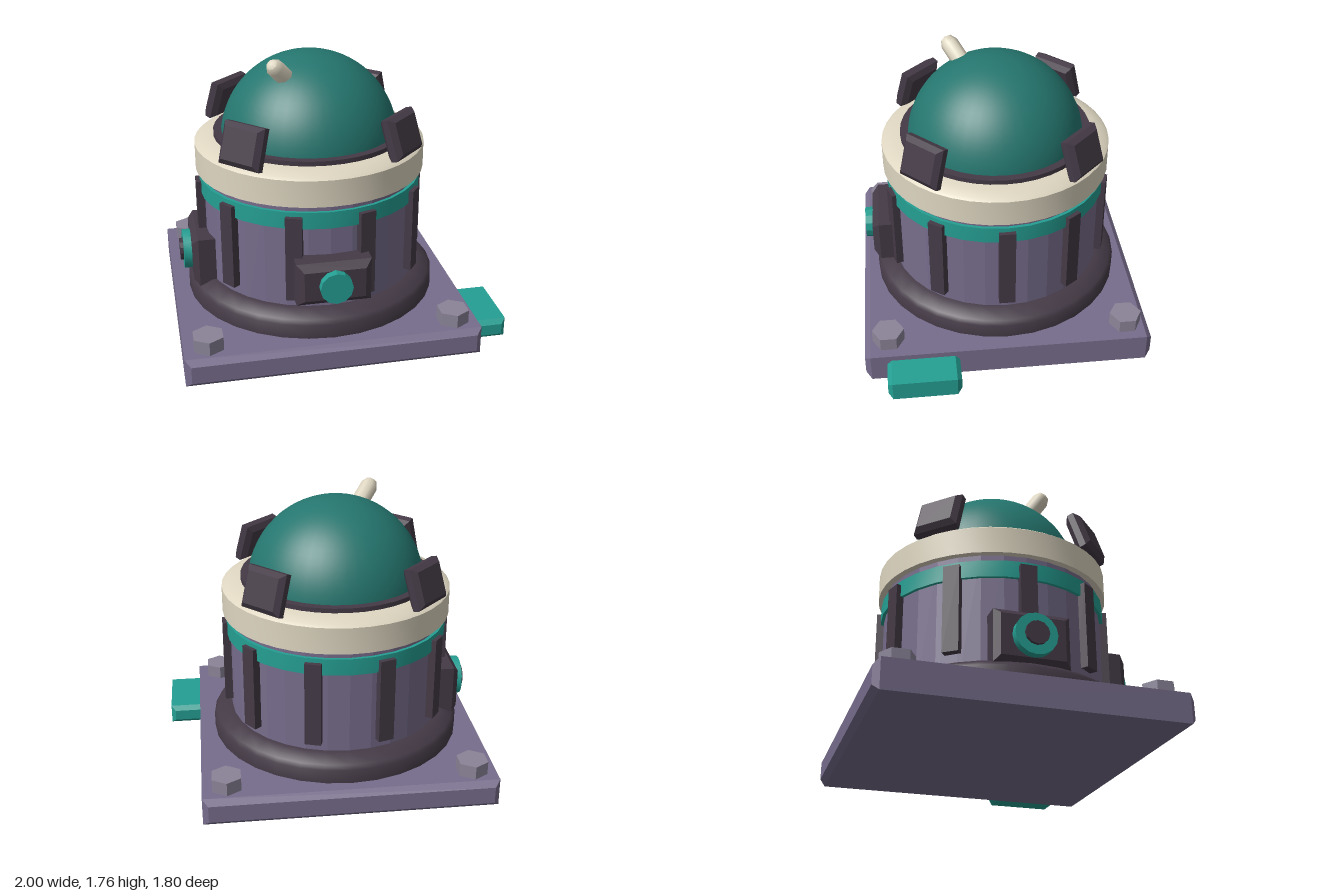
import * as THREE from 'three';
import { toCreasedNormals } from 'three/addons/utils/BufferGeometryUtils.js';

const mat = (name, color) => {
  const m = new THREE.MeshStandardMaterial({ color });
  m.name = name;
  return m;
};

export function createModel() {
  const purple = mat('dusty purple', 0x776d8c);
  const dark = mat('dark plum', 0x443a46);
  const cream = mat('cream', 0xded6c1);
  const teal = mat('bright teal', 0x259f93);
  const deepTeal = mat('deep teal', 0x25766f);
  const grey = mat('lilac grey', 0x8b8498);

  const model = new THREE.Group();
  model.name = 'domedTurret';
  const AXIS = -0.1; // x of the turret's axis

  const add = (name, geometry, material, x = 0, y = 0, z = 0, parent = model) => {
    const mesh = new THREE.Mesh(geometry, material);
    mesh.name = name;
    mesh.position.set(x, y, z);
    parent.add(mesh);
    return mesh;
  };

  // Block whose front and back faces are chamfered by b
  const block = (w, h, d, b) => {
    const s = new THREE.Shape();
    s.moveTo(-w / 2, -h / 2).lineTo(w / 2, -h / 2).lineTo(w / 2, h / 2).lineTo(-w / 2, h / 2).closePath();
    const g = new THREE.ExtrudeGeometry(s, {
      depth: d - 2 * b, bevelEnabled: true, bevelSegments: 1,
      bevelSize: b, bevelThickness: b, bevelOffset: -b,
    });
    return g.translate(0, 0, b - d / 2);
  };

  const lathe = (points, sides, crease) => toCreasedNormals(
    new THREE.LatheGeometry(points.map(([r, y]) => new THREE.Vector2(r, y)), sides), crease);

  const drum = (r, h, sides, crease = 0.5) =>
    toCreasedNormals(new THREE.CylinderGeometry(r, r, h, sides), crease);

  // Base plate, side tab and corner bolts
  add('basePlate', block(1.8, 0.18, 1.8, 0.035), purple, AXIS, 0.09, 0);
  add('sideTab', block(0.3, 0.125, 0.45, 0.028), teal, 0.85, 0.083, 0.54);
  for (const sx of [-1, 1]) for (const sz of [-1, 1])
    add('bolt', drum(0.1, 0.1, 6), grey, AXIS + sx * 0.75, 0.215, sz * 0.75);

  // Turret body
  add('footRing', lathe([[0.8, 0.18], [0.8, 0.27], [0.78, 0.295], [0.7, 0.335], [0.66, 0.335]], 32, 0.9), dark, AXIS);
  add('body', drum(0.68, 0.85, 32, 0.1), purple, AXIS, 0.605, 0);
  add('tealBand', drum(0.7, 0.105, 32), teal, AXIS, 0.91, 0);
  add('creamRing', lathe([[0.64, 1.005], [0.72, 1.005], [0.72, 1.17], [0.7, 1.185], [0.64, 1.205], [0.58, 1.215]], 40, 0.9),
    cream, AXIS);
  add('domeCollar', drum(0.6, 0.08, 40), dark, AXIS, 1.2, 0);
  add('dome', new THREE.SphereGeometry(0.555, 40, 20, 0, Math.PI * 2, 0, Math.PI / 2), deepTeal, AXIS, 1.167, 0);

  // Ten upright ribs around the body
  for (let i = 0; i < 10; i++) {
    const a = (i + 0.5) * Math.PI / 5;
    const rib = add('rib', new THREE.BoxGeometry(0.1, 0.54, 0.07), dark,
      AXIS + Math.sin(a) * 0.69, 0.665, Math.cos(a) * 0.69);
    rib.rotation.y = a;
  }

  // Four guard plates leaning in toward the dome
  for (let i = 0; i < 4; i++) {
    const a = (i + 0.5) * Math.PI / 2;
    const guard = add('guardPlate', block(0.29, 0.255, 0.1, 0.03), dark,
      AXIS + Math.sin(a) * 0.665, 1.32, Math.cos(a) * 0.665);
    guard.rotation.set(-0.31, a, 0, 'YXZ');
  }

  // Front housing with its button
  add('frontHousing', block(0.45, 0.27, 0.2, 0.042), dark, AXIS, 0.545, 0.715);
  add('frontButton', drum(0.098, 0.06, 12).rotateX(Math.PI / 2), teal, AXIS, 0.545, 0.832);

  // Side housing with a round port
  const side = new THREE.Group();
  side.name = 'sidePort';
  side.position.set(AXIS, 0.455, 0);
  side.rotation.y = -Math.PI / 2;
  model.add(side);
  add('sideHousing', block(0.45, 0.32, 0.18, 0.035), dark, 0, 0, 0.69, side);
  add('portRing', drum(0.125, 0.06, 16).rotateX(Math.PI / 2), teal, 0, 0, 0.8, side);
  add('portCentre', drum(0.07, 0.04, 12).rotateX(Math.PI / 2), dark, 0, 0, 0.83, side);

  // Stubby antenna on the dome
  const stub = add('antenna', lathe([[0, 0], [0.056, 0], [0.056, 0.2], [0.035, 0.24], [0, 0.25]], 8, 0.9), cream);
  const dir = new THREE.Vector3(-0.55, 0.67, 0.5).normalize();
  stub.quaternion.setFromUnitVectors(new THREE.Vector3(0, 1, 0), dir);
  stub.position.set(-0.375, 1.742, 0.285).addScaledVector(dir, -0.25);

  return model;
}
